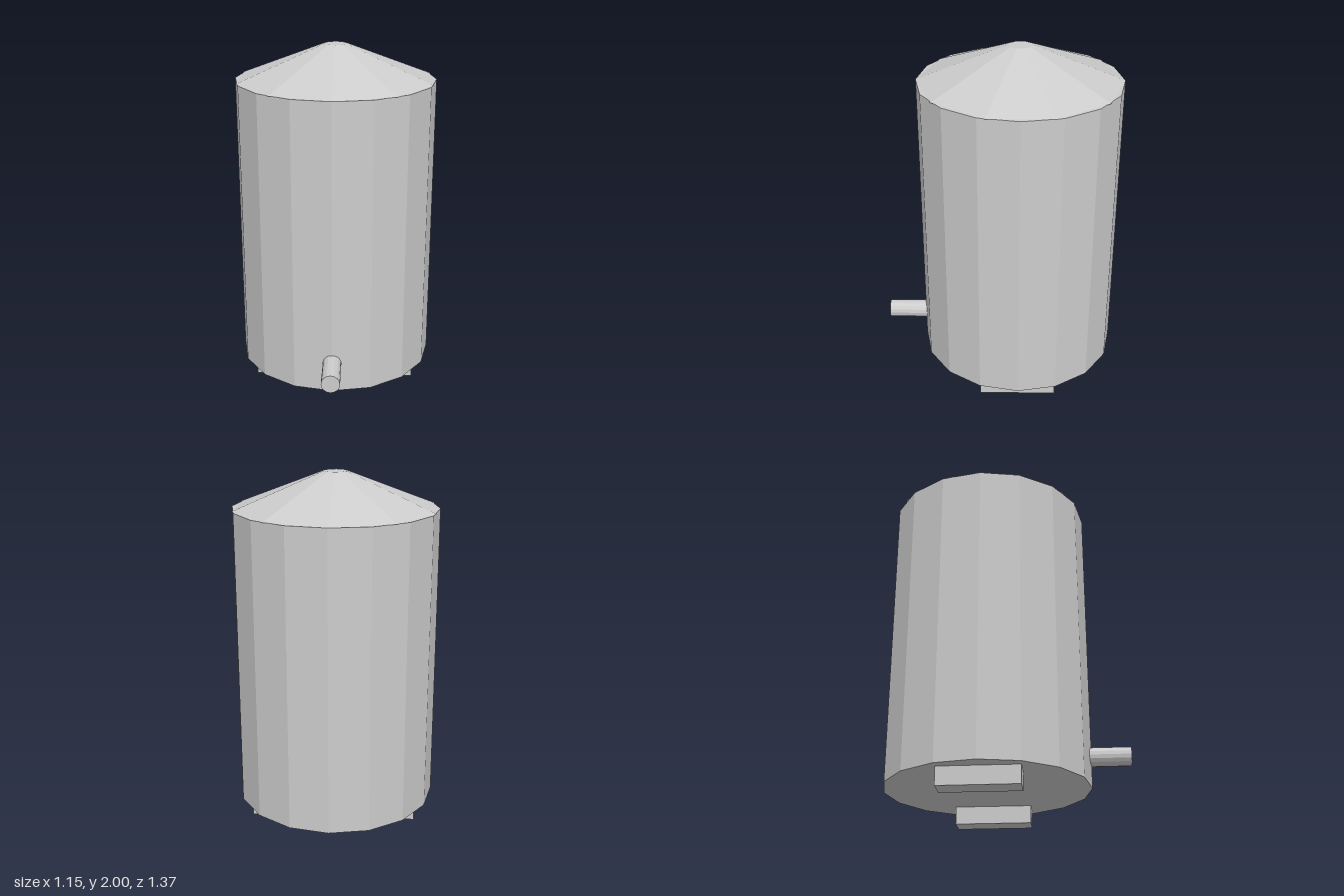
import * as THREE from 'three';

export function createModel() {
  const group = new THREE.Group();
  const grey = new THREE.MeshStandardMaterial({ color: 0xcccccc });
  grey.name = 'light grey metal';
  grey.flatShading = true;
  const centreZ = -0.11;
  const radius = 0.575;

  const add = (name, geometry, x, y, z) => {
    const mesh = new THREE.Mesh(geometry, grey);
    mesh.name = name;
    mesh.position.set(x, y, z);
    group.add(mesh);
    return mesh;
  };

  // Sixteen-sided tank under a ten-sided truncated roof
  add('tankBody', new THREE.CylinderGeometry(radius, radius, 1.7, 16), 0, 0.95, centreZ);
  add('roof', new THREE.CylinderGeometry(0.066, radius, 0.2, 10), 0, 1.9, centreZ);

  // Outlet pipe low on the front, sunk slightly into the wall
  const pipe = add('outletPipe', new THREE.CylinderGeometry(0.053, 0.053, 0.245, 16), 0, 0.275, 0.5625);
  pipe.rotation.x = Math.PI / 2;

  // Pair of block feet
  for (const side of [-1, 1]) {
    add(side > 0 ? 'leftFoot' : 'rightFoot', new THREE.BoxGeometry(0.135, 0.105, 0.437), side * 0.406, 0.0525, centreZ);
  }

  return group;
}
